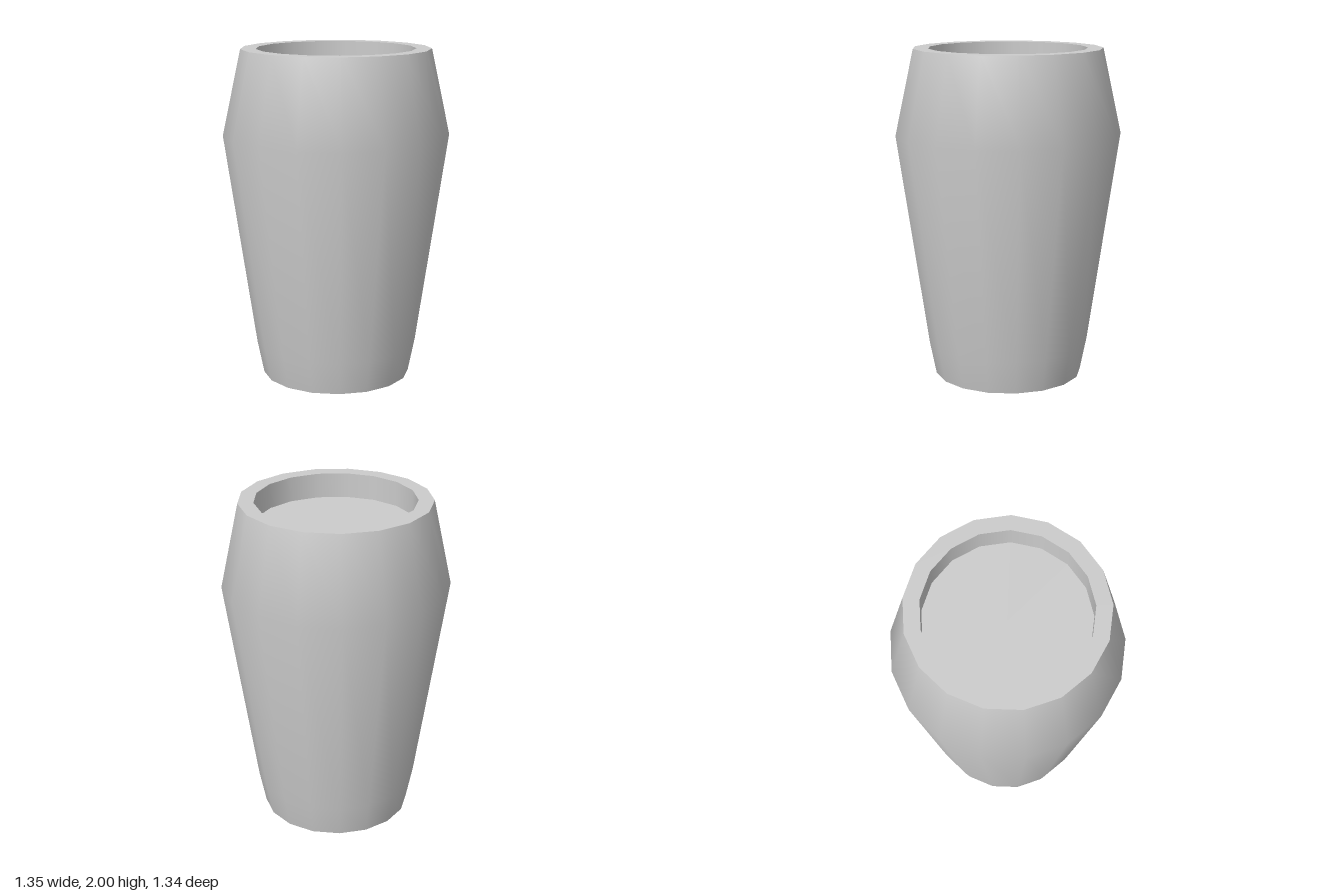
import * as THREE from 'three';

const SIDES = 17;

export function createModel() {
  const group = new THREE.Group();
  group.name = 'vessel';
  const material = new THREE.MeshStandardMaterial({ color: 0xcccccc });

  // Each part is a [radius, height] profile turned about y; separate parts keep the rims crisp.
  function turn(name, profile) {
    const points = profile.map(([r, y]) => new THREE.Vector2(r, y));
    const mesh = new THREE.Mesh(new THREE.LatheGeometry(points, SIDES, Math.PI), material);
    mesh.name = name;
    mesh.position.z = 0.006; // an odd number of sides sits slightly off centre
    group.add(mesh);
  }

  turn('base', [[0, 0], [0.45, 0]]);
  turn('outerWall', [[0.45, 0], [0.49, 0.2], [0.678, 1.49], [0.567, 2]]);
  turn('rim', [[0.567, 2], [0.475, 2]]);
  turn('innerWall', [[0.475, 2], [0.475, 1.85]]);
  turn('recessFloor', [[0.475, 1.85], [0, 1.85]]);

  return group;
}
